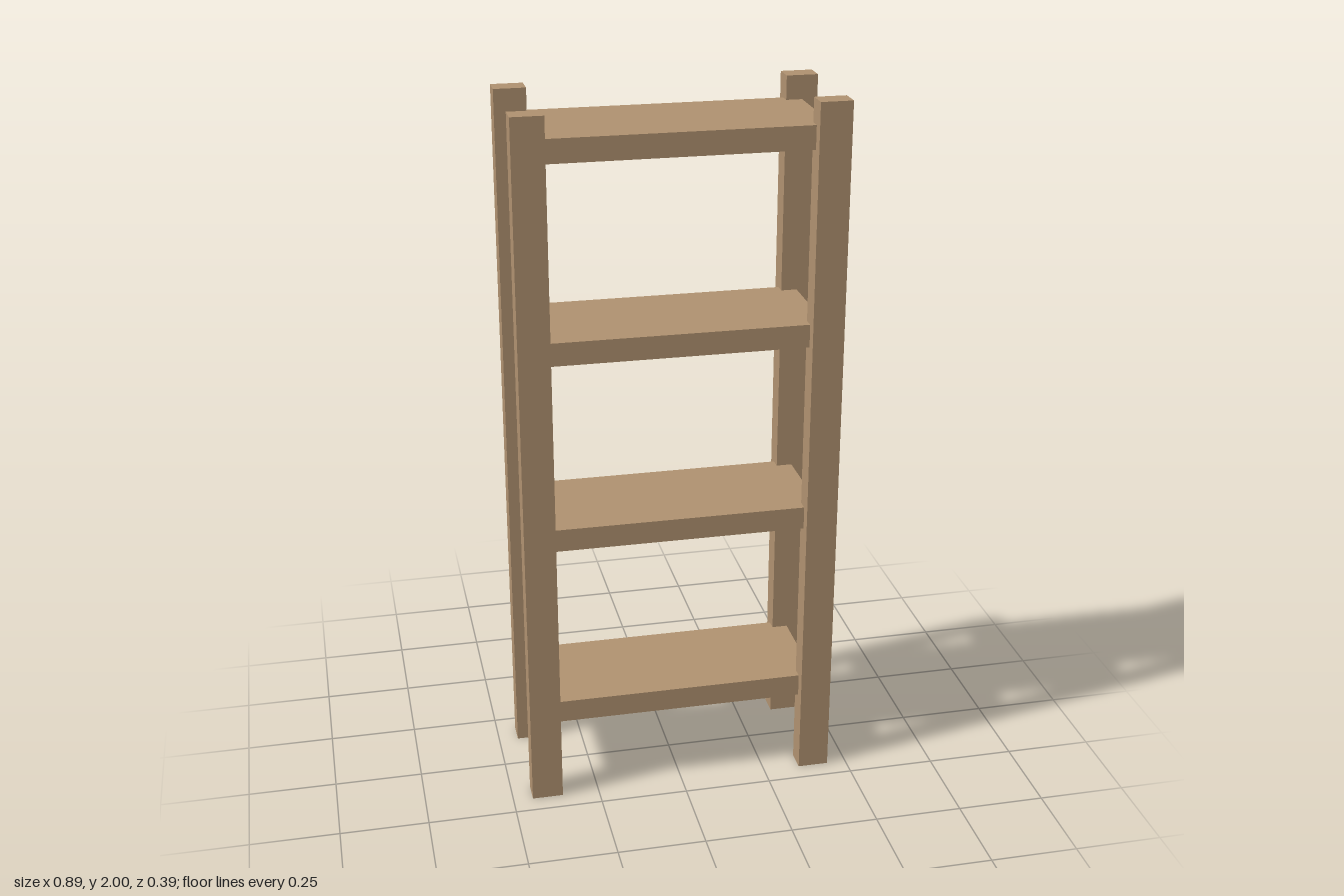
import * as THREE from 'three';

export function createModel() {
  const group = new THREE.Group();
  const wood = new THREE.MeshStandardMaterial({ color: 0xb09270 });
  wood.name = 'wood';

  function addBox(name, [w, h, d], [x, y, z]) {
    const mesh = new THREE.Mesh(new THREE.BoxGeometry(w, h, d), wood);
    mesh.name = name;
    mesh.position.set(x, y, z);
    group.add(mesh);
  }

  // Four corner posts
  for (const [side, x] of [['Left', 0.4], ['Right', -0.4]]) {
    for (const [end, z] of [['front', 0.163], ['back', -0.163]]) {
      addBox(`${end}${side}Post`, [0.088, 2, 0.062], [x, 1, z]);
    }
  }

  // Four evenly spaced shelves, their corners let into the posts
  for (let i = 0; i < 4; i++) {
    addBox(`shelf${i + 1}`, [0.802, 0.065, 0.327], [0, 0.263 + i * 0.546, 0]);
  }

  return group;
}
